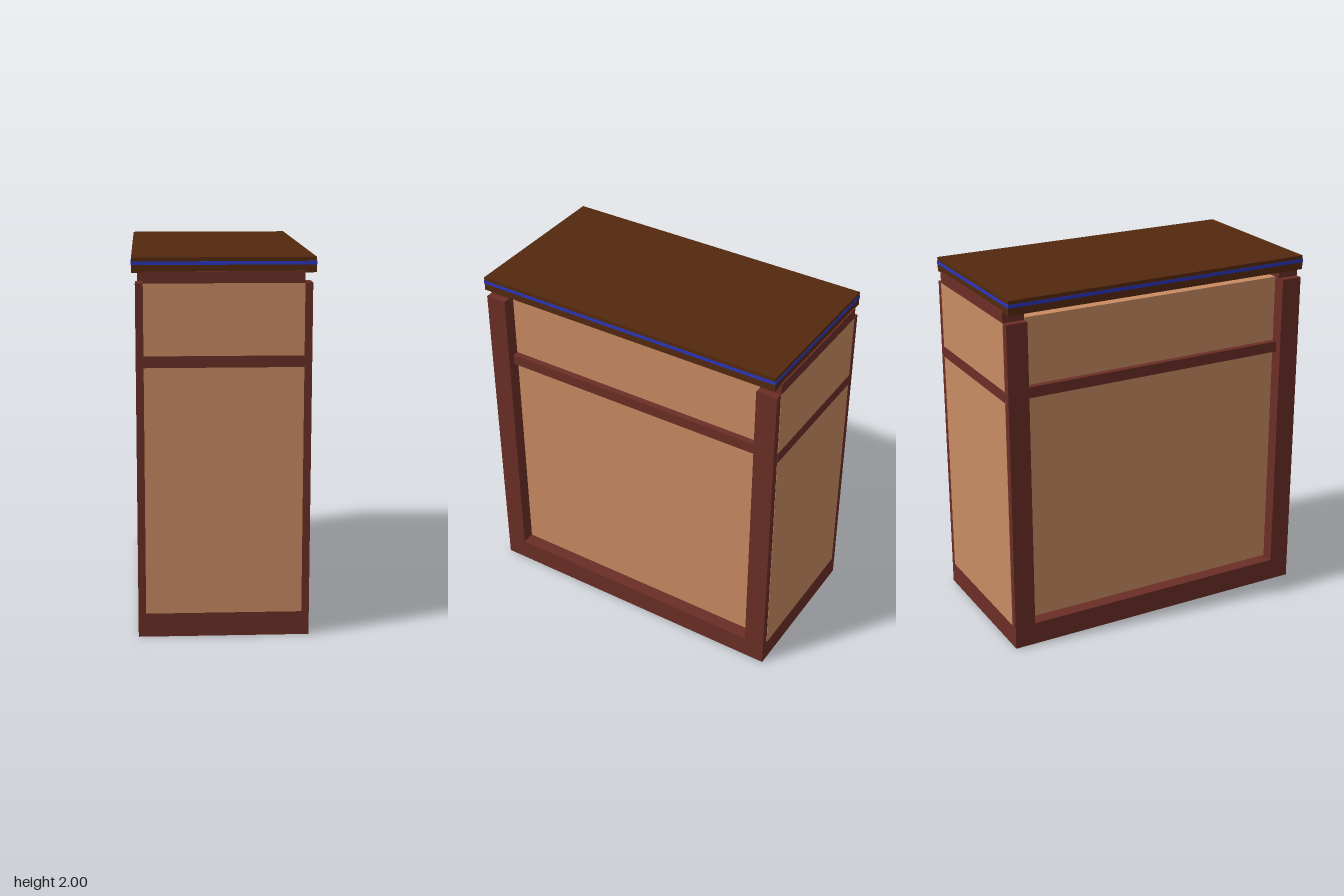
import * as THREE from 'three';

const mat = (color) => new THREE.MeshStandardMaterial({ color });

export function createModel() {
  const model = new THREE.Group();
  const frame = mat(0x6b2e26);
  const panel = mat(0xc98b62);
  const top = mat(0x53290f);
  const blue = mat(0x2a35c0);

  // Box given by its extents on each axis
  const box = (name, material, [x0, x1], [y0, y1], [z0, z1]) => {
    const mesh = new THREE.Mesh(new THREE.BoxGeometry(x1 - x0, y1 - y0, z1 - z0), material);
    mesh.position.set((x0 + x1) / 2, (y0 + y1) / 2, (z0 + z1) / 2);
    mesh.name = name;
    model.add(mesh);
  };
  // Range on the positive or negative side of an axis
  const side = (s, a, b) => (s > 0 ? [a, b] : [-b, -a]);
  const both = (a) => [-a, a];

  // Cabinet core, whose long faces are the recessed side panels
  box('cabinetCore', panel, both(0.375), [0.01, 1.87], both(0.89));
  box('floorPanel', panel, both(0.41), [0, 0.02], both(0.79));

  for (const s of [-1, 1]) {
    // Corner posts
    for (const t of [-1, 1]) {
      box('cornerPost', frame, side(s, 0.375, 0.45), [0.13, 1.87], side(t, 0.78, 0.898));
    }
    // Base sills
    box('sideSill', frame, side(s, 0.375, 0.45), [0.002, 0.13], both(0.78));
    box('endSill', frame, both(0.45), [0.002, 0.13], side(s, 0.78, 0.898));

    // Nearly flush end panels and the rails dividing the faces
    box('endPanel', panel, both(0.41), [0.13, 1.87], side(s, 0.88, 0.9));
    box('endMiddleRail', frame, both(0.41), [1.44, 1.5], side(s, 0.88, 0.902));
    box('sideMiddleRail', frame, side(s, 0.36, 0.41), [1.44, 1.5], both(0.78));

    // Spacer rails below the worktop
    box('endTopRail', frame, both(0.41), [1.87, 1.93], side(s, 0.78, 0.9));
    box('sideTopRail', frame, side(s, 0.26, 0.31), [1.87, 1.93], both(0.78));
  }

  // Worktop with an inlaid band around its edge
  box('worktop', top, both(0.468), [1.922, 2], both(0.892));
  box('edgeBand', blue, both(0.47), [1.962, 1.98], both(0.894));

  return model;
}
